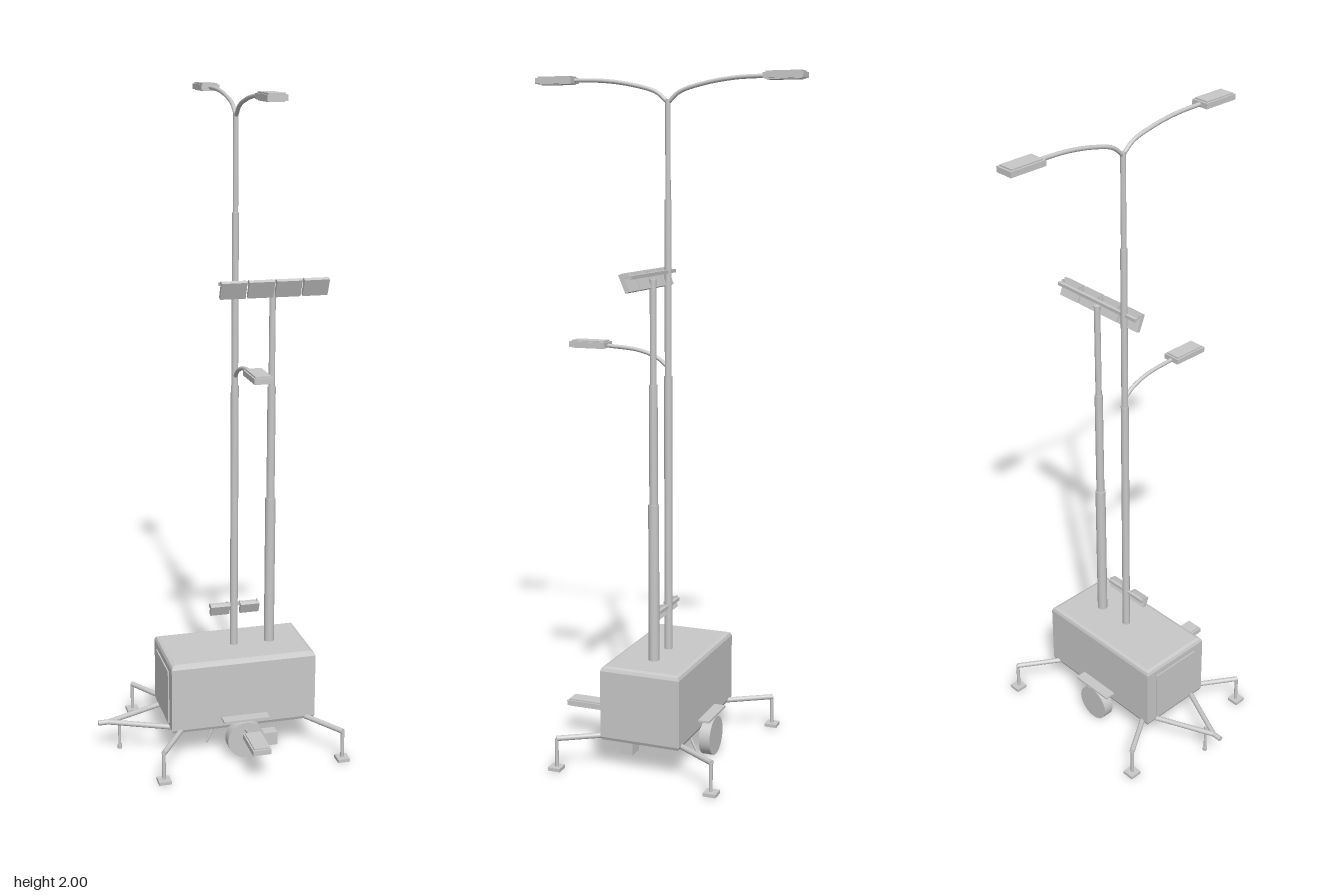
import * as THREE from 'three';

const grey = new THREE.MeshStandardMaterial({ color: 0xc8c8c8 });
grey.name = 'lightGrey';
const V = (x, y, z) => new THREE.Vector3(x, y, z);

export function createModel() {
  const model = new THREE.Group();
  model.name = 'lightingTrailer';

  function add(name, geometry, x = 0, y = 0, z = 0, parent = model) {
    const mesh = new THREE.Mesh(geometry, grey);
    mesh.name = name;
    mesh.position.set(x, y, z);
    parent.add(mesh);
    return mesh;
  }
  const box = (name, w, h, d, x, y, z, parent) =>
    add(name, new THREE.BoxGeometry(w, h, d), x, y, z, parent);

  // Round bar between two points
  function rod(name, a, b, r) {
    const dir = b.clone().sub(a);
    const mesh = add(name, new THREE.CylinderGeometry(r, r, dir.length(), 16));
    mesh.position.copy(a).add(b).multiplyScalar(0.5);
    mesh.quaternion.setFromUnitVectors(V(0, 1, 0), dir.normalize());
  }

  // Trailer body: square corners in plan, chamfered top and bottom edges
  const bevel = 0.013, bx = 0.227 - bevel, bz = 0.123 - bevel;
  const plan = new THREE.Shape([[-bx, -bz], [bx, -bz], [bx, bz], [-bx, bz]]
    .map(([x, z]) => new THREE.Vector2(x, z)));
  const shell = new THREE.ExtrudeGeometry(plan, {
    depth: 0.2, bevelEnabled: true, bevelSize: bevel, bevelThickness: bevel, bevelSegments: 2,
  });
  add('body', shell.rotateX(-Math.PI / 2), 0.067, 0.099, 0);
  box('endDoor', 0.006, 0.17, 0.17, -0.161, 0.195, 0);

  // Wheels and mudguards
  for (const s of [-1, 1]) {
    const wheel = add('wheel', new THREE.CylinderGeometry(0.058, 0.058, 0.034, 32), 0.066, 0.058, s * 0.137);
    wheel.rotation.x = Math.PI / 2;
    box('mudguard', 0.144, 0.006, 0.04, 0.067, 0.125, s * 0.138);
  }

  // Corner outriggers with feet
  for (const s of [-1, 1]) {
    for (const [x0, x1] of [[-0.13, -0.212], [0.265, 0.346]]) {
      rod('outriggerArm', V(x0, 0.095, s * 0.115), V(x1, 0.095, s * 0.242), 0.008);
      rod('outriggerLeg', V(x1, 0.008, s * 0.24), V(x1, 0.095, s * 0.24), 0.0055);
      box('outriggerFoot', 0.038, 0.01, 0.038, x1, 0.005, s * 0.242);
    }
    // Drawbar side
    rod('drawbar', V(-0.155, 0.093, s * 0.08), V(-0.335, 0.093, 0), 0.008);
  }
  rod('coupling', V(-0.366, 0.093, 0), V(-0.325, 0.093, 0), 0.008);
  rod('drawbarJack', V(-0.3, 0, 0), V(-0.3, 0.1, 0), 0.0045);
  rod('jackFoot', V(-0.3, 0, 0), V(-0.3, 0.012, 0), 0.007);

  // Street lamp head with raised lid
  function lampHead(x, y, z) {
    const head = new THREE.Group();
    head.name = 'lampHead';
    head.position.set(x, y, z);
    model.add(head);
    box('housing', 0.056, 0.016, 0.115, 0, 0, 0, head);
    box('lid', 0.046, 0.006, 0.103, 0, 0.009, 0, head);
    box('lens', 0.044, 0.004, 0.1, 0, -0.009, 0, head);
  }
  function lampArm(points, r) {
    add('lampArm', new THREE.TubeGeometry(new THREE.CatmullRomCurve3(points), 24, r, 12));
  }

  // Lamp mast in telescoping sections
  const mx = 0.066;
  for (const [a, b, r] of [[0, 0.1, 0.016], [0.3, 1.14, 0.012], [1.14, 1.65, 0.01], [1.65, 1.93, 0.0078]]) {
    rod('lampMast', V(mx, a, 0), V(mx, b, 0), r);
  }
  for (const s of [-1, 1]) {
    lampArm([V(mx, 1.92, 0), V(mx, 1.95, s * 0.035), V(mx, 1.972, s * 0.11),
      V(mx, 1.985, s * 0.2), V(mx, 1.988, s * 0.3)], 0.006);
    lampHead(mx, 1.988, s * 0.3475);
  }
  lampArm([V(mx, 1.165, 0), V(mx, 1.19, 0.03), V(mx, 1.212, 0.09), V(mx, 1.222, 0.2)], 0.006);
  lampHead(mx, 1.224, 0.249);

  // Floodlight mast in telescoping sections
  const fx = 0.18;
  rod('floodMast', V(fx, 0.3, 0), V(fx, 0.78, 0), 0.0158);
  rod('floodMast', V(fx, 0.78, 0), V(fx, 1.13, 0), 0.0125);
  rod('floodMast', V(fx, 1.13, 0), V(fx, 1.43, 0), 0.0095);

  // Row of floodlights tilted down, hung from a rail
  function floodRow(x0, count, pitch, w, h, y, depth) {
    const length = pitch * (count - 1) + w;
    box('floodRail', length, 0.01, 0.01, x0 + length / 2, y + h * 0.3, 0);
    for (let i = 0; i < count; i++) {
      const flood = new THREE.Group();
      flood.name = 'floodlight';
      flood.position.set(x0 + w / 2 + i * pitch, y, depth);
      flood.rotation.x = 0.4;
      model.add(flood);
      box('floodHousing', w, h, 0.013, 0, 0, 0, flood);
      for (const s of [-1, 1]) box('floodBracket', 0.004, 0.01, 0.018, s * w * 0.45, h * 0.3, -0.009, flood);
    }
  }
  floodRow(0.017, 4, 0.0835, 0.077, 0.054, 1.428, 0.018);
  floodRow(-0.012, 2, 0.094, 0.06, 0.034, 0.435, 0.012);

  // Low lamp, braces and box beneath the trailer
  lampArm([V(mx, 0.04, 0), V(mx, 0.062, 0.06), V(mx, 0.085, 0.13), V(mx, 0.102, 0.22)], 0.006);
  lampHead(mx, 0.104, 0.27);
  rod('brace', V(0.01, 0.092, 0.03), V(-0.03, 0, 0.03), 0.004);
  rod('brace', V(0.09, 0.092, -0.06), V(0.09, 0, -0.105), 0.004);
  box('battery', 0.048, 0.042, 0.036, 0.156, 0.025, 0.088);

  return model;
}
